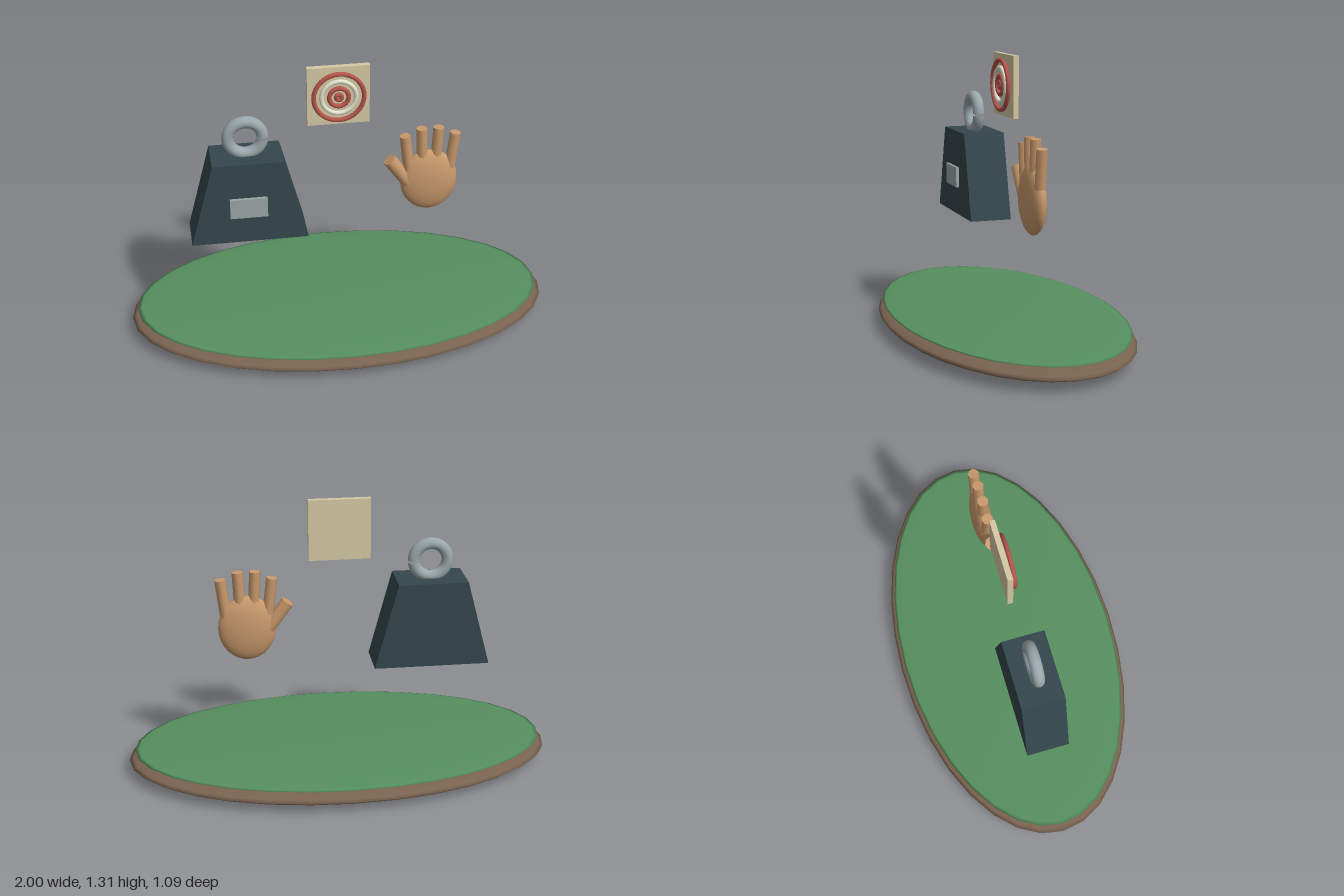
import * as THREE from 'three';

const mat = (color) => new THREE.MeshStandardMaterial({ color });
const brown = mat(0x7a6350), green = mat(0x56905f), iron = mat(0x34474d), steel = mat(0x9aa8ac);
const plateGrey = mat(0x9aa8a6), cream = mat(0xd6c9a4), pale = mat(0xe4e2cf), red = mat(0xb5554b), skin = mat(0xc99a6c);

function add(parent, name, geometry, material, x = 0, y = 0, z = 0) {
  const mesh = new THREE.Mesh(geometry, material);
  mesh.name = name;
  mesh.position.set(x, y, z);
  parent.add(mesh);
  return mesh;
}

function ellipsoid(rx, ry, rz, w = 32, h = 16) {
  return new THREE.SphereGeometry(1, w, h).scale(rx, ry, rz);
}

function group(parent, name) {
  const g = new THREE.Group();
  g.name = name;
  parent.add(g);
  return g;
}

// Straight cylinder between two points in the plane z = 0
function digit(parent, name, [x0, y0], [x1, y1], r) {
  const a = new THREE.Vector3(x0, y0, 0), b = new THREE.Vector3(x1, y1, 0);
  const dir = b.clone().sub(a);
  const mid = a.add(b).multiplyScalar(0.5);
  const m = add(parent, name, new THREE.CylinderGeometry(r, r, dir.length(), 8), skin, mid.x, mid.y, 0);
  m.quaternion.setFromUnitVectors(new THREE.Vector3(0, 1, 0), dir.normalize());
}

export function createModel() {
  const model = new THREE.Group();
  model.name = 'model';

  // Oval base with a thin green top
  const base = group(model, 'base');
  add(base, 'baseDisc', ellipsoid(1, 0.057, 0.545), brown, 0, 0.057, 0);
  add(base, 'greenTop', ellipsoid(0.972, 0.017, 0.525), green, 0, 0.106, 0);

  // Tapered weight with label plate and ring
  const weight = group(model, 'weight');
  const side = new THREE.Shape([
    new THREE.Vector2(-0.27, 0), new THREE.Vector2(0.27, 0),
    new THREE.Vector2(0.162, 0.408), new THREE.Vector2(-0.162, 0.408),
  ]);
  const body = new THREE.ExtrudeGeometry(side, { depth: 0.2, bevelEnabled: false });
  add(weight, 'weightBody', body, iron, -0.427, 0.507, -0.1);
  add(weight, 'weightPlate', new THREE.BoxGeometry(0.172, 0.098, 0.014), plateGrey, -0.43, 0.694, 0.11);
  const ring = new THREE.TorusGeometry(0.079, 0.028, 12, 32, 6.18);
  add(weight, 'weightRing', ring, steel, -0.427, 1.0, 0);

  // Square board with raised concentric rings
  const target = group(model, 'target');
  add(target, 'targetBoard', new THREE.BoxGeometry(0.285, 0.285, 0.025), cream, 0, 1.172, -0.022);
  [[0.115, red], [0.079, pale], [0.044, red], [0.013, red]].forEach(([r, m], i) =>
    add(target, `targetRing${i + 1}`, new THREE.TorusGeometry(r, 0.0105, 10, 32), m, 0, 1.172, 0.006));

  // Open hand
  const hand = group(model, 'hand');
  add(hand, 'palm', ellipsoid(0.135, 0.157, 0.048, 24, 16), skin, 0.425, 0.705, 0);
  const fingers = [
    [[0.33, 0.765], [0.308, 0.945]],
    [[0.395, 0.765], [0.385, 0.978]],
    [[0.455, 0.765], [0.465, 0.978]],
    [[0.523, 0.765], [0.545, 0.945]],
  ];
  fingers.forEach(([a, b], i) => digit(hand, `finger${i + 1}`, a, b, 0.026));
  digit(hand, 'thumb', [0.35, 0.67], [0.237, 0.825], 0.033);

  return model;
}
